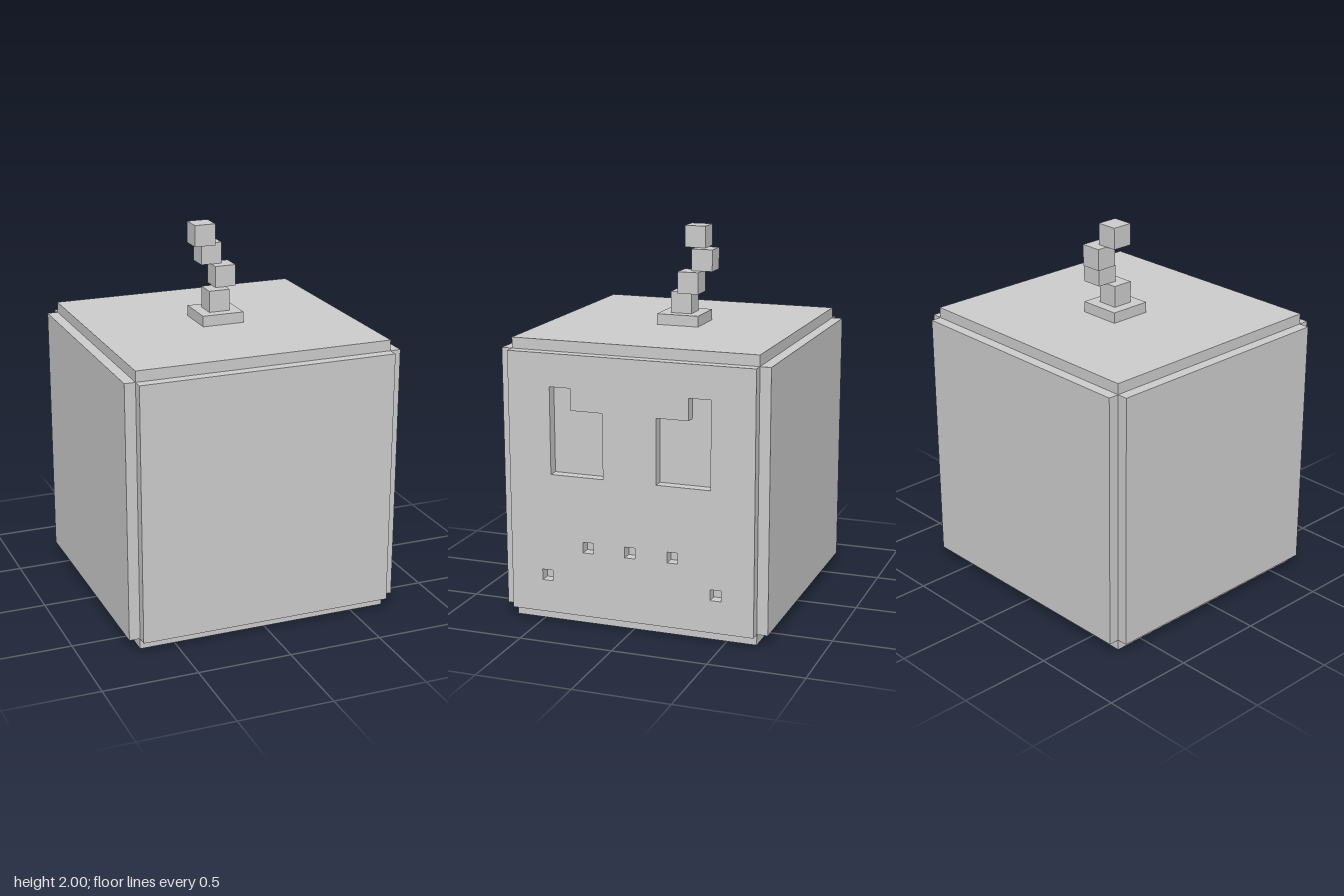
import * as THREE from 'three';

// One voxel: the whole model is 35 voxels tall
const U = 2 / 35;

export function createModel() {
  const model = new THREE.Group();
  model.name = 'blockHead';
  const material = new THREE.MeshStandardMaterial({ color: 0xcccccc, flatShading: true });

  function add(parent, name, geometry) {
    const mesh = new THREE.Mesh(geometry, material);
    mesh.name = name;
    parent.add(mesh);
    return mesh;
  }

  // Box given by its ranges in voxels
  function addBox(parent, name, [x0, x1], [y0, y1], [z0, z1]) {
    const geometry = new THREE.BoxGeometry((x1 - x0) * U, (y1 - y0) * U, (z1 - z0) * U);
    const mesh = add(parent, name, geometry);
    mesh.position.set((x0 + x1) / 2 * U, (y0 + y1) / 2 * U, (z0 + z1) / 2 * U);
  }

  // Core with one-voxel plates on five sides
  const X = [-12, 12], Y = [1, 25], Z = [-11.5, 11.5];
  addBox(model, 'core', X, Y, Z);
  addBox(model, 'bottomPlate', X, [0, 1], Z);
  addBox(model, 'topPlate', X, [25, 26], Z);
  addBox(model, 'frontPlate', X, Y, [11.5, 12.5]);
  addBox(model, 'backPlate', X, Y, [-12.5, -11.5]);
  addBox(model, 'rightPlate', [-13, -12], Y, Z);

  // Face plate on the +x side, with eyes and mouth cut through it
  const outline = points => points.map(([x, y]) => new THREE.Vector2(x * U, y * U));
  const rect = (x0, y0, x1, y1) => [[x0, y0], [x1, y0], [x1, y1], [x0, y1]];
  const face = new THREE.Shape(outline(rect(Z[0], Y[0], Z[1], Y[1])));
  const eye = [[2.5, 14], [7.5, 14], [7.5, 22], [5.5, 22], [5.5, 20], [2.5, 20]];
  for (const side of [-1, 1]) {
    face.holes.push(new THREE.Path(outline(eye.map(([x, y]) => [x * side, y]))));
  }
  for (const [x, y] of [[-8, 4], [-4, 7], [0, 7], [4, 7], [8, 4]]) {
    face.holes.push(new THREE.Path(outline(rect(x - 0.5, y, x + 0.5, y + 1))));
  }
  const plate = add(model, 'facePlate',
    new THREE.ExtrudeGeometry(face, { depth: U, bevelEnabled: false }));
  plate.rotation.y = Math.PI / 2;
  plate.position.x = 12 * U;

  // Twisting stem of stacked cubes on a square base
  const stem = new THREE.Group();
  stem.name = 'stem';
  model.add(stem);
  addBox(stem, 'stemBase', [-2, 2], [26, 27], [-2.5, 1.5]);
  [[-1, -1.5], [0, -2.5], [-1, -3.5], [-2, -2.5]].forEach(([x, z], i) => {
    const y = 27 + 2 * i;
    addBox(stem, `stemCube${i + 1}`, [x, x + 2], [y, y + 2], [z, z + 2]);
  });

  return model;
}
